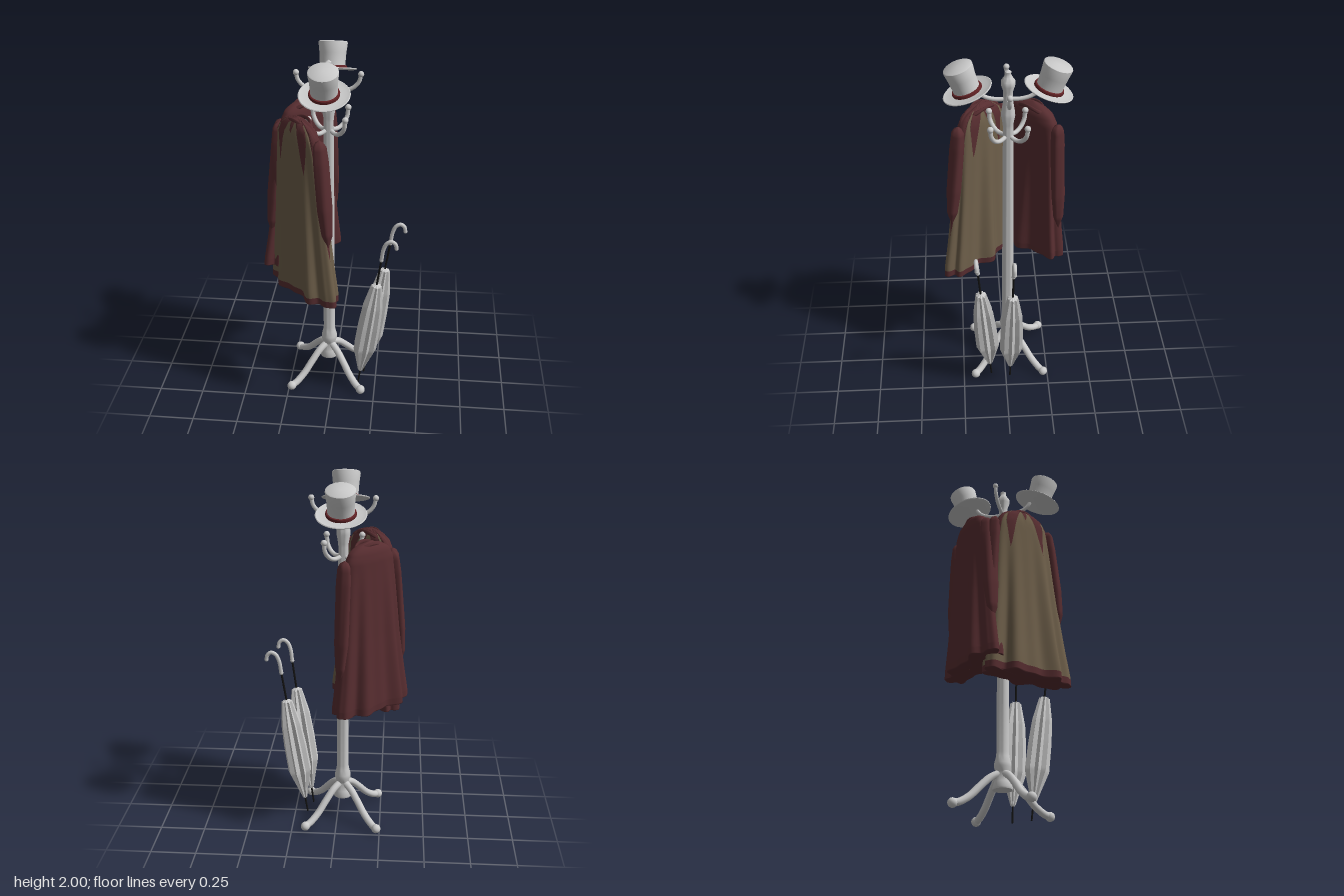
import * as THREE from 'three';
import { toCreasedNormals } from 'three/addons/utils/BufferGeometryUtils.js';

const V = (x, y, z = 0) => new THREE.Vector3(x, y, z);
const TAU = Math.PI * 2;

function mat(name, color, side = THREE.FrontSide) {
  const m = new THREE.MeshStandardMaterial({ color, side });
  m.name = name;
  return m;
}

function add(parent, name, geometry, material) {
  const m = new THREE.Mesh(geometry, material);
  m.name = name;
  parent.add(m);
  return m;
}

function lathe(points, segments = 32) {
  const g = new THREE.LatheGeometry(points.map(([r, y]) => new THREE.Vector2(r, y)), segments);
  return toCreasedNormals(g, 0.7);
}

function tube(points, radius, segments = 20) {
  return new THREE.TubeGeometry(new THREE.CatmullRomCurve3(points), segments, radius, 10);
}

// Linear lookup in rows [y, a, b, ...] sorted from high y to low y
function sample(rows, y) {
  let i = 0;
  while (i < rows.length - 2 && y < rows[i + 1][0]) i++;
  const a = rows[i], b = rows[i + 1];
  const t = THREE.MathUtils.clamp((a[0] - y) / (a[0] - b[0]), 0, 1);
  return a.map((v, k) => v + (b[k] - v) * t);
}

// Closed sheet around the y axis, between an upper and a lower edge that may vary with the angle
function patch(surface, top, bottom, cols, rows) {
  const pos = [], idx = [];
  for (let i = 0; i <= rows; i++) {
    for (let j = 0; j < cols; j++) {
      const a = (j / cols) * TAU;
      pos.push(...surface(a, THREE.MathUtils.lerp(top(a), bottom(a), i / rows), j));
    }
  }
  for (let i = 0; i < rows; i++) {
    for (let j = 0; j < cols; j++) {
      const k = (j + 1) % cols;
      const a = i * cols + j, b = i * cols + k, c = a + cols, d = b + cols;
      idx.push(a, b, c, b, d, c);
    }
  }
  const g = new THREE.BufferGeometry();
  g.setAttribute('position', new THREE.Float32BufferAttribute(pos, 3));
  g.setIndex(idx);
  g.computeVertexNormals();
  return g;
}

// Coat: flattened, folded body with two sleeves and a collar ring; swing shifts the hem sideways
function coat(length, swing, trim, cloth, patterned) {
  const g = new THREE.Group();
  const TOP = 1.69, low = TOP - length;
  const at = (f) => TOP - length * f;
  const profile = [
    [TOP, 0.0, 0.0], [1.685, 0.047, 0.021], [1.67, 0.09, 0.035], [1.645, 0.128, 0.048],
    [1.6, 0.154, 0.056], [at(0.25), 0.172, 0.06], [at(0.55), 0.2, 0.066], [at(0.8), 0.23, 0.075],
    [at(0.95), 0.252, 0.082], [low + 0.004, 0.255, 0.08], [low, 0.0, 0.0],
  ];
  const hang = (y) => THREE.MathUtils.clamp((1.6 - y) / 0.85, 0, 1);
  const body = (a, y) => {
    const [, w, d] = sample(profile, y);
    const k = hang(y) * Math.min(1, w / 0.1);
    const f = k * (0.012 * Math.sin(7 * a + 0.6) + 0.007 * Math.sin(12 * a + 2));
    const c = Math.cos(a), s = Math.sin(a);
    return [c * (w + f) + swing * hang(y), y, Math.sign(s) * Math.abs(s) ** 0.75 * d + s * f * 1.4];
  };
  const hem = low + 0.045;
  // Pointed yoke: long points under the arms, short ones on the chest and back
  const yoke = (a) => {
    const near = (centre, width) => {
      const d = Math.abs(Math.atan2(Math.sin(a - centre), Math.cos(a - centre)));
      return Math.max(0, 1 - d / width);
    };
    let y = 1.672;
    for (const e of [0, Math.PI]) y -= 0.72 * near(e, 0.5);
    for (const e of [0.95, 2.19, -0.95, -2.19]) y -= 0.26 * near(e, 0.32);
    for (const e of [1.57, -1.57]) y -= 0.06 * near(e, 0.15);
    return y;
  };
  if (patterned) {
    add(g, 'coatYoke', patch(body, () => TOP, yoke, 120, 24), trim);
    add(g, 'coatPanels', patch(body, yoke, () => hem, 120, 24), cloth);
  } else {
    add(g, 'coatBody', patch(body, () => TOP, () => hem, 120, 60), trim);
  }
  add(g, 'coatHem', patch(body, () => hem, () => low, 120, 12), trim);
  // Sleeves
  const end = at(patterned ? 0.66 : 0.79);
  const sleeveRows = [
    [1.615, 0, 0], [1.605, 0.018, 0.02], [1.58, 0.03, 0.036], [1.5, 0.034, 0.042],
    [end + 0.22, 0.034, 0.042], [end + 0.08, 0.026, 0.03], [end, 0, 0],
  ];
  for (const side of [-1, 1]) {
    const sleeve = (a, y) => {
      const [, w, d] = sample(sleeveRows, y);
      const f = 1 + 0.07 * Math.sin(5 * a + y * 4);
      const lean = 0.17 + 0.055 * (1.6 - y) / 0.65;
      return [side * lean + swing * hang(y) + Math.cos(a) * w * f, y, Math.sin(a) * d * f];
    };
    add(g, 'sleeve', patch(sleeve, () => 1.615, () => end, 20, 50), trim);
  }
  // Collar ring, drooping at both ends to follow the shoulders
  const ring = new THREE.TorusGeometry(0.08, 0.012, 8, 32);
  const p = ring.attributes.position;
  for (let i = 0; i < p.count; i++) p.setZ(i, p.getZ(i) + 4 * p.getX(i) ** 2);
  ring.computeVertexNormals();
  const collar = add(g, 'collar', ring, trim);
  collar.rotation.x = Math.PI / 2;
  collar.scale.set(1, 0.48, 1);
  collar.position.set(0, 1.678, -0.01);
  return g;
}

function hat(grey, band) {
  const g = new THREE.Group();
  add(g, 'hatShell', lathe([
    [0, 0], [0.07, 0], [0.115, 0.001], [0.13, 0.006], [0.132, 0.01], [0.128, 0.013], [0.11, 0.008],
    [0.07, 0.008], [0.069, 0.04], [0.072, 0.09], [0.078, 0.14], [0.077, 0.148], [0.072, 0.152], [0, 0.153],
  ], 40), grey);
  add(g, 'hatBand', lathe([[0.07, 0.008], [0.079, 0.009], [0.08, 0.015], [0.077, 0.024], [0.068, 0.026]], 40), band);
  return g;
}

function umbrella(grey, black) {
  const g = new THREE.Group();
  const rod = add(g, 'umbrellaShaft', new THREE.CylinderGeometry(0.006, 0.005, 0.92, 10), black);
  rod.position.y = 0.465;
  // Furled canopy with pleats
  const rows = [[0.735, 0.006], [0.73, 0.03], [0.58, 0.057], [0.44, 0.065], [0.28, 0.067], [0.1, 0.013], [0.095, 0.004]];
  const pleats = (a, y, j) => {
    const r = sample(rows, y)[1] * (j % 2 ? 0.74 : 1);
    return [r * Math.cos(a), y, r * Math.sin(a)];
  };
  const canopy = patch(pleats, () => 0.735, () => 0.095, 18, 64);
  add(g, 'umbrellaCanopy', toCreasedNormals(canopy, 0.5), grey);
  // Crook handle
  add(g, 'umbrellaHandle', tube([V(0, 0.9), V(0, 0.97), V(0.012, 1.012), V(0.035, 1.028), V(0.058, 1.016), V(0.068, 0.99)], 0.011, 28), grey);
  add(g, 'handleEnd', new THREE.SphereGeometry(0.0115, 10, 8), grey).position.set(0.068, 0.99, 0);
  add(g, 'handleFerrule', new THREE.SphereGeometry(0.012, 10, 8), grey).position.set(0, 0.9, 0);
  return g;
}

export function createModel() {
  const grey = mat('paintedGrey', 0xcacaca);
  const red = mat('darkRedCloth', 0x572d30, THREE.DoubleSide);
  const tan = mat('tanCloth', 0x6e5f4a, THREE.DoubleSide);
  const band = mat('bandRed', 0x622225);
  const black = mat('black', 0x141414);
  const model = new THREE.Group();

  const stand = new THREE.Group();
  stand.name = 'stand';
  stand.position.set(-0.03, 0, -0.022);
  model.add(stand);

  // Turned pole
  add(stand, 'pole', lathe([
    [0, 0.13], [0.052, 0.13], [0.055, 0.14], [0.045, 0.17], [0.034, 0.21], [0.037, 0.225], [0.045, 0.25], [0.045, 0.27],
    [0.036, 0.305], [0.033, 0.33], [0.033, 0.6], [0.027, 1.62], [0.028, 1.64], [0.037, 1.69], [0.036, 1.71],
    [0.027, 1.765], [0.025, 1.8], [0.025, 1.83], [0.036, 1.865], [0.036, 1.89], [0.022, 1.91], [0.015, 1.925], [0.016, 1.94], [0, 1.952],
  ], 24), grey);

  // Radial arms: four legs, four coat hooks and four hat hooks
  const arms = [
    ['leg', Math.PI / 4, [V(0.02, 0.215), V(0.07, 0.19), V(0.13, 0.135), V(0.19, 0.075), V(0.25, 0.037), V(0.285, 0.028)], 0.02, 0.026],
    ['coatHook', Math.PI / 4, [V(0.015, 1.57), V(0.06, 1.562), V(0.1, 1.578), V(0.128, 1.615), V(0.135, 1.662)], 0.012, 0.017],
    ['hatHook', 0, [V(0.01, 1.785), V(0.07, 1.787), V(0.125, 1.805), V(0.158, 1.84), V(0.168, 1.88)], 0.011, 0.016],
  ];
  for (const [name, offset, path, radius, ball] of arms) {
    for (let i = 0; i < 4; i++) {
      const arm = new THREE.Group();
      arm.name = name;
      arm.rotation.y = offset + i * Math.PI / 2;
      add(arm, name + 'Bar', tube(path, radius), grey);
      add(arm, name + 'Ball', new THREE.SphereGeometry(ball, 16, 12), grey).position.copy(path[path.length - 1]);
      stand.add(arm);
    }
  }

  // Hats, tipped outward on the front and back hooks
  for (const s of [1, -1]) {
    const h = hat(grey, band);
    h.name = s > 0 ? 'frontHat' : 'backHat';
    h.position.set(0, 1.83, s * 0.203);
    h.rotation.x = s * 0.335;
    stand.add(h);
  }

  // Coats on the two right-hand hooks
  const coats = [['frontCoat', 1.012, 0.033, -Math.PI / 4, true], ['backCoat', 0.935, 0.032, -Math.PI * 0.75, false]];
  for (const [name, length, swing, angle, patterned] of coats) {
    const c = coat(length, swing, red, tan, patterned);
    c.name = name;
    c.rotation.y = angle;
    c.position.set(Math.sin(angle) * 0.2, 0, Math.cos(angle) * 0.2);
    stand.add(c);
  }

  // Leaning umbrellas
  const leaning = [
    ['backUmbrella', V(0.175, 0.005, -0.025), V(0.315, 0.9, -0.035)],
    ['frontUmbrella', V(0.15, 0.005, 0.085), V(0.275, 0.9, 0.157)],
  ];
  for (const [name, foot, head] of leaning) {
    const u = umbrella(grey, black);
    u.name = name;
    u.position.copy(foot);
    u.quaternion.setFromUnitVectors(V(0, 1, 0), head.clone().sub(foot).normalize());
    model.add(u);
  }
  return model;
}
